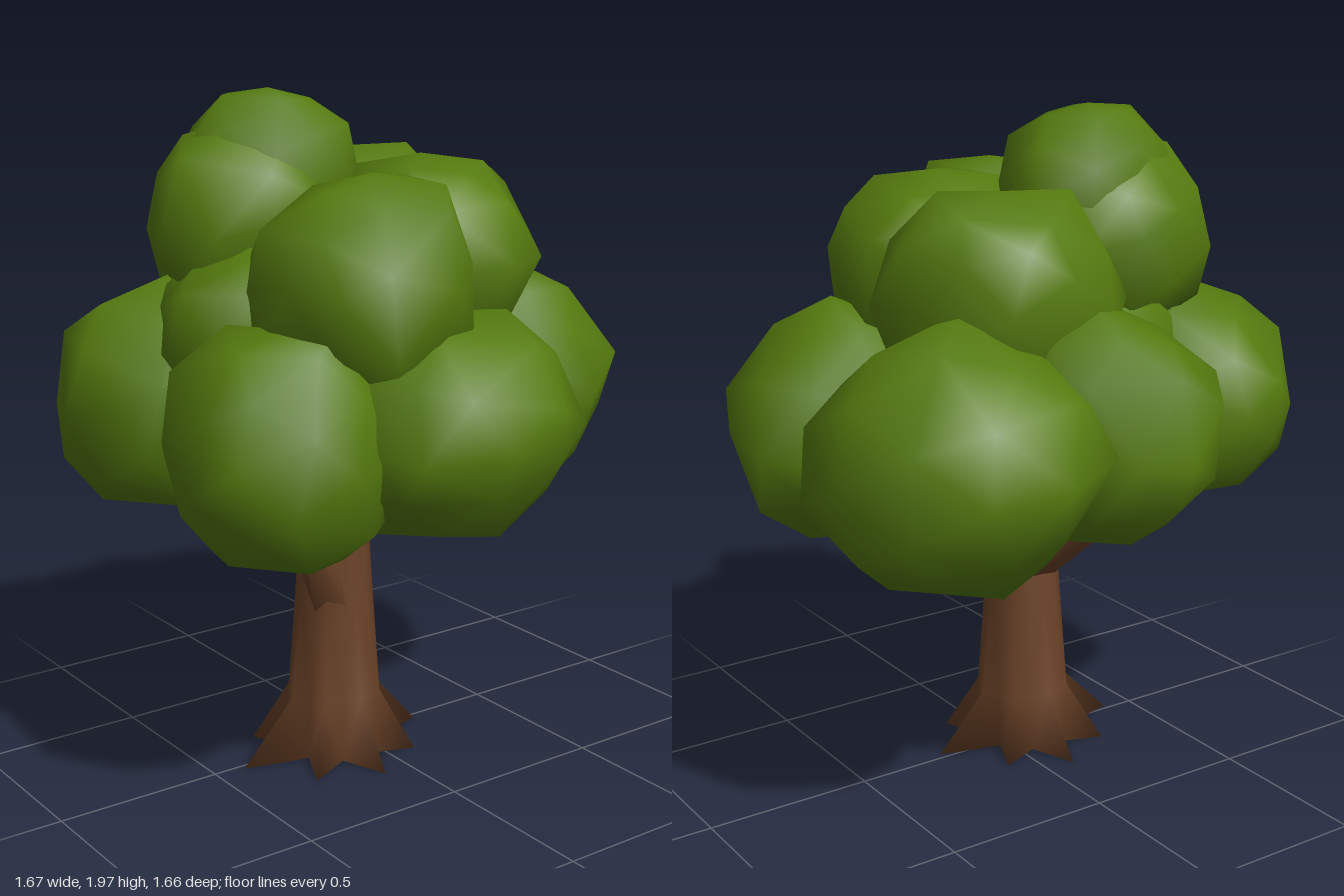
import * as THREE from 'three';
import { mergeVertices } from 'three/addons/utils/BufferGeometryUtils.js';

const leafGreen = new THREE.MeshStandardMaterial({ color: 0x557a0e });
leafGreen.name = 'leafGreen';
const barkBrown = new THREE.MeshStandardMaterial({ color: 0x6a4227 });
barkBrown.name = 'barkBrown';

// Small seeded random generator
function seeded(seed) {
  let s = seed * 7919 + 17;
  return () => {
    s = (s * 16807) % 2147483647;
    return s / 2147483647;
  };
}

// Lumpy low-poly ball with smooth normals and a flattened underside
function leafClump(x, y, z, rx, ry, rz, seed) {
  let geo = new THREE.IcosahedronGeometry(1, 1);
  geo.deleteAttribute('normal');
  geo.deleteAttribute('uv');
  geo = mergeVertices(geo, 1e-4);
  geo.rotateY(seed * 1.3);
  const rand = seeded(seed);
  for (let i = 0; i < 20; i++) rand();
  const p = geo.attributes.position;
  const v = new THREE.Vector3();
  for (let i = 0; i < p.count; i++) {
    v.fromBufferAttribute(p, i);
    v.x += (rand() - 0.5) * 0.26;
    v.y += (rand() - 0.5) * 0.2;
    v.z += (rand() - 0.5) * 0.26;
    v.normalize().multiplyScalar(0.93 + rand() * 0.17);
    v.y = Math.max(v.y, -0.95);
    p.setXYZ(i, v.x * rx, v.y * ry, v.z * rz);
  }
  geo.computeVertexNormals();
  const mesh = new THREE.Mesh(geo, leafGreen);
  mesh.position.set(x, y, z);
  return mesh;
}

// Trunk skin from stacked rings; the lowest ring is a star of root tips
function trunkGeometry() {
  const n = 16;
  const tips = [0.31, 0.25, 0.27, 0.27, 0.32, 0.25, 0.27, 0.25];
  const rings = [ // y, centre x, centre z, radius
    [0, -0.09, 0.02, 0.14], [0.18, -0.08, 0.01, 0.138],
    [0.5, -0.085, 0.02, 0.115], [0.8, -0.09, 0.025, 0.098], [1.15, -0.09, 0.03, 0.09],
  ];
  const pos = [], idx = [];
  rings.forEach(([y, cx, cz, r], k) => {
    for (let i = 0; i < n; i++) {
      const a = (i / n) * Math.PI * 2;
      let rad = r * (1 + 0.05 * Math.sin(i * 2.4));
      if (k === 0 && i % 2 === 0) rad = tips[i / 2];
      if (k === 1 && i % 2 === 0) rad *= 1.06;
      pos.push(cx + Math.cos(a) * rad, y, cz + Math.sin(a) * rad);
      if (k > 0) {
        const b = (k - 1) * n + i, c = (k - 1) * n + ((i + 1) % n);
        // Diagonals mirror about each root so its ridge stays sharp
        if (i % 2 === 0) idx.push(b, b + n, c, c, b + n, c + n);
        else idx.push(b, b + n, c + n, b, c + n, c);
      }
    }
  });
  // Hollowed underside of the roots
  const centre = pos.length / 3;
  pos.push(-0.09, 0.03, 0.02);
  for (let i = 0; i < n; i++) idx.push(centre, i, (i + 1) % n);
  const geo = new THREE.BufferGeometry();
  geo.setAttribute('position', new THREE.Float32BufferAttribute(pos, 3));
  geo.setIndex(idx);
  geo.computeVertexNormals();
  return geo;
}

// Tapered branch between two points
function branch(from, to, r0, r1) {
  const a = new THREE.Vector3(...from), b = new THREE.Vector3(...to);
  const dir = b.clone().sub(a);
  const mesh = new THREE.Mesh(new THREE.CylinderGeometry(r1, r0, dir.length(), 5), barkBrown);
  mesh.position.copy(a).add(b).multiplyScalar(0.5);
  mesh.quaternion.setFromUnitVectors(new THREE.Vector3(0, 1, 0), dir.normalize());
  return mesh;
}

export function createModel() {
  const tree = new THREE.Group();
  tree.name = 'tree';

  const trunk = new THREE.Mesh(trunkGeometry(), barkBrown);
  trunk.name = 'trunkWithRoots';
  tree.add(trunk);

  const branches = new THREE.Group();
  branches.name = 'branches';
  branches.add(
    branch([-0.12, 0.5, 0.05], [-0.34, 0.82, 0.2], 0.08, 0.015),
    branch([-0.06, 0.58, 0.0], [0.13, 0.82, -0.16], 0.07, 0.015),
    branch([-0.09, 0.57, -0.01], [-0.15, 0.79, -0.34], 0.07, 0.012),
  );
  tree.add(branches);

  // Crown: centre x y z, radii x y z
  const clumps = {
    crownTop: [-0.26, 1.6, -0.14, 0.31, 0.31, 0.29],
    crownPeak: [-0.21, 1.72, -0.12, 0.27, 0.27, 0.24],
    upperFront: [-0.22, 1.47, 0.36, 0.32, 0.33, 0.31],
    upperLeft: [0.17, 1.49, 0.13, 0.3, 0.32, 0.33],
    upperBack: [0.18, 1.47, -0.26, 0.35, 0.33, 0.3],
    lowerFront: [-0.06, 1.1, 0.49, 0.38, 0.32, 0.34],
    lowerFrontRight: [-0.48, 1.07, 0.34, 0.32, 0.35, 0.34],
    lowerLeft: [0.45, 1.08, 0.11, 0.36, 0.34, 0.34],
    lowerBackLeft: [0.43, 1.1, -0.43, 0.4, 0.36, 0.4],
    lowerBackRight: [-0.49, 1.1, -0.23, 0.33, 0.33, 0.34],
    lowerBack: [-0.02, 1.13, -0.47, 0.33, 0.34, 0.35],
    crownCore: [-0.04, 1.25, 0.0, 0.5, 0.34, 0.48],
    rightShoulder: [-0.36, 1.32, 0.02, 0.27, 0.25, 0.32],
  };
  const crown = new THREE.Group();
  crown.name = 'crown';
  Object.entries(clumps).forEach(([name, c], i) => {
    const mesh = leafClump(...c, i + 3);
    mesh.name = name;
    crown.add(mesh);
  });
  tree.add(crown);
  return tree;
}
